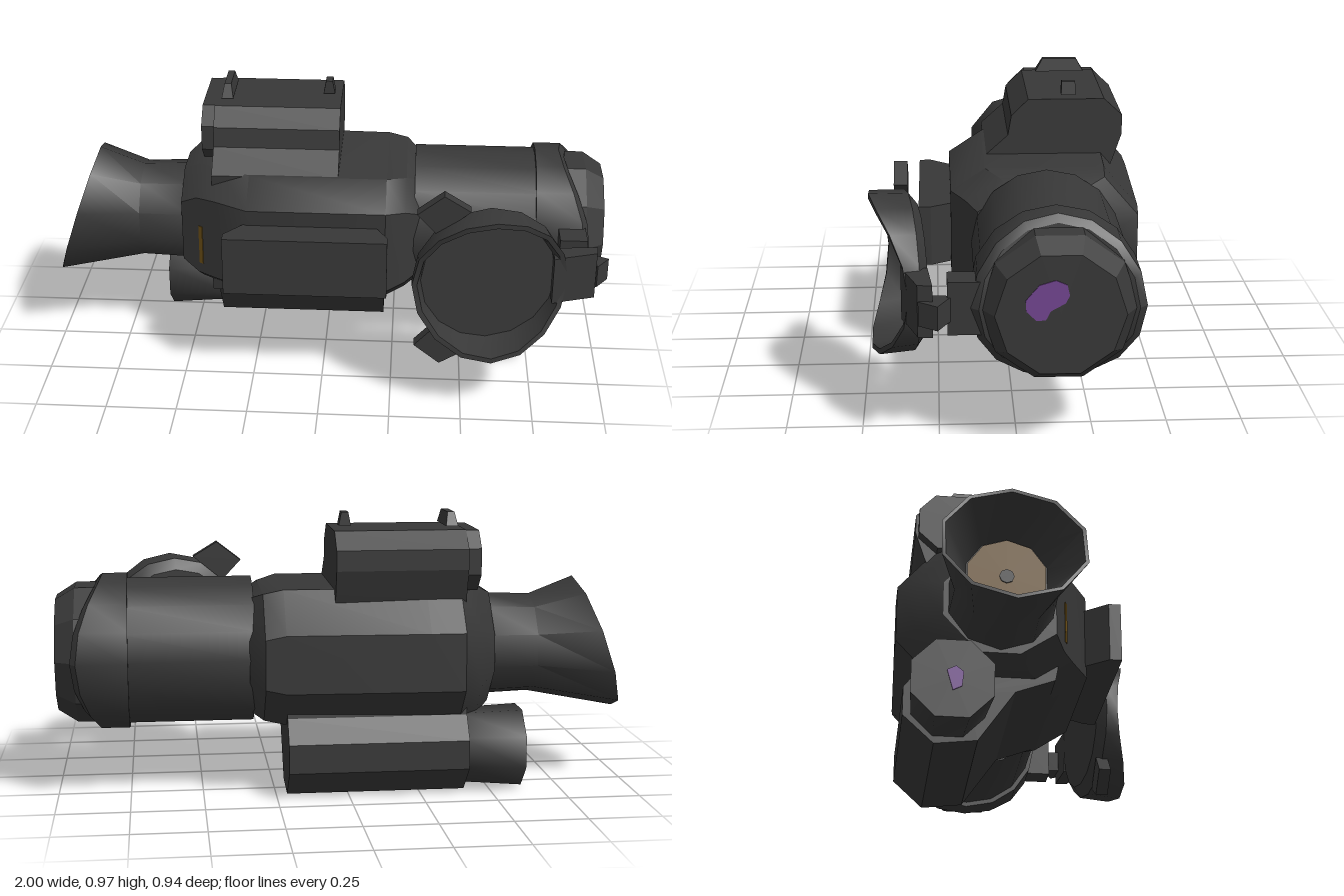
import * as THREE from 'three';
import { toCreasedNormals } from 'three/addons/utils/BufferGeometryUtils.js';

const CY = 0.485, CZ = -0.127; // optical axis, running along x

// Skin a list of closed rings (arrays of [x, y, z]) and cap both ends
function loft(rings, crease = 0.6) {
  const n = rings[0].length, pos = [], index = [];
  rings.forEach(r => r.forEach(p => pos.push(...p)));
  for (let i = 0; i < rings.length - 1; i++) {
    for (let j = 0; j < n; j++) {
      const k = (j + 1) % n, a = i * n + j, b = i * n + k;
      index.push(a, b, b + n, a, b + n, a + n);
    }
  }
  [0, rings.length - 1].forEach((i, end) => {
    const c = pos.length / 3;
    pos.push(...[0, 1, 2].map(d => rings[i].reduce((s, p) => s + p[d], 0) / n));
    for (let j = 0; j < n; j++) {
      const a = i * n + j, b = i * n + (j + 1) % n;
      index.push(c, end ? a : b, end ? b : a);
    }
  });
  const g = new THREE.BufferGeometry();
  g.setAttribute('position', new THREE.Float32BufferAttribute(pos, 3));
  g.setIndex(index);
  return toCreasedNormals(g, crease);
}

// Ring around the x axis; x may depend on the angle from the top
function ring(x, r, n, y = CY, z = CZ, phase = 0) {
  return Array.from({ length: n }, (_, j) => {
    const a = (j + phase) / n * Math.PI * 2;
    return [typeof x === 'function' ? x(a) : x, y + r * Math.cos(a), z + r * Math.sin(a)];
  });
}

// Straight prism along x from [y, z] points
const prism = (pts, x0, x1) => loft([x0, x1].map(x => pts.map(([y, z]) => [x, y, z])), 0.3);

// Vertical prism from [x, z] points
function plan(pts, y0, y1) {
  const shape = new THREE.Shape(pts.map(([x, z]) => new THREE.Vector2(x, -z)));
  return new THREE.ExtrudeGeometry(shape, { depth: y1 - y0, bevelEnabled: false })
    .rotateX(-Math.PI / 2).translate(0, y0, 0);
}

export function createModel() {
  const model = new THREE.Group();
  model.name = 'opticalSight';
  const mat = (name, color) => Object.assign(new THREE.MeshStandardMaterial({ color }), { name });
  const black = mat('blackHousing', 0x383838);
  const purple = mat('purpleGlint', 0x724590);
  const amber = mat('amberGlass', 0x6b4e16);
  const add = (name, geometry, material = black, parent = model) => {
    const m = new THREE.Mesh(geometry, material);
    m.name = name;
    parent.add(m);
    return m;
  };

  // Main housing: chamfered sections [x, zMin, zMax, yMin, yMax]
  const sections = [
    [-0.52, -0.32, 0.06, 0.29, 0.68], [-0.46, -0.40, 0.094, 0.255, 0.715],
    [-0.39, -0.47, 0.133, 0.25, 0.72], [-0.27, -0.47, 0.20, 0.25, 0.72],
    [0.22, -0.455, 0.20, 0.25, 0.72], [0.29, -0.45, 0.15, 0.265, 0.705],
    [0.34, -0.38, 0.11, 0.29, 0.68]];
  add('mainHousing', loft(sections.map(([x, z0, z1, y0, y1]) => [
    [y1, z1 - 0.12], [y1 - 0.08, z1], [y0 + 0.08, z1], [y0, z1 - 0.12],
    [y0, z0 + 0.12], [y0 + 0.13, z0], [y1 - 0.14, z0], [y1, z0 + 0.12],
  ].map(([y, z]) => [x, y, z]))));

  // Objective tube, scalloped collar and front lens
  add('objectiveTube', loft([ring(0.32, 0.258, 16), ring(0.78, 0.258, 16)]));
  const scallop = a => 0.925 - 0.09 * Math.cos(a) ** 2;
  add('collar', loft([ring(0.75, 0.275, 16), ring(scallop, 0.275, 16), ring(a => scallop(a) + 0.02, 0.25, 16)], 0.4));
  add('frontBezel', loft([ring(0.78, 0.25, 10, CY, CZ, 0.5), ring(0.93, 0.247, 10, CY, CZ, 0.5),
    ring(0.997, 0.204, 10, CY, CZ, 0.5)], 0.3));
  add('lensGlint', prism([[0.6, -0.11], [0.585, -0.06], [0.55, -0.03], [0.535, -0.018], [0.5, -0.02],
    [0.47, -0.05], [0.47, -0.08], [0.5, -0.095], [0.525, -0.14], [0.55, -0.153], [0.585, -0.145]],
  0.995, 1.0), purple);

  // Eyepiece with slanted, hollow eyecup
  const slant = a => -0.92 + 0.08 * Math.cos(a);
  add('eyepiece', loft([ring(-0.68, 0.14, 10), ring(slant, 0.228, 10), ring(slant, 0.24, 10),
    ring(-0.68, 0.178, 10), ring(-0.5, 0.185, 10)], 0.7));
  add('eyepieceGlass', loft([ring(-0.688, 0.135, 10), ring(-0.68, 0.135, 10)]), amber);
  add('eyepiecePupil', loft([ring(-0.692, 0.025, 8), ring(-0.686, 0.025, 8)]));

  // Upper compartment, its end cap and the raised controls
  add('upperCompartment', prism([[0.92, -0.08], [0.86, -0.02], [0.79, -0.008], [0.715, 0.075],
    [0.66, 0.07], [0.66, -0.37], [0.7, -0.385], [0.79, -0.415], [0.86, -0.415], [0.92, -0.35]], -0.405, 0.047));
  add('upperEndCap', prism([[0.918, -0.09], [0.86, -0.03], [0.77, -0.03], [0.71, -0.09],
    [0.71, -0.34], [0.77, -0.405], [0.86, -0.405], [0.918, -0.35]], -0.45, -0.4));
  add('indicator', loft([ring(-0.454, 0.018, 8, 0.8, -0.21), ring(-0.448, 0.018, 8, 0.8, -0.21)]), amber);
  for (const [name, x, w0, w1] of [['rockerButton', -0.365, 0.09, 0.063], ['smallButton', 0, 0.026, 0.024]]) {
    const z = x < -0.1 ? -0.22 : -0.225;
    const rect = (y, h, w) => [[x + h, y, z + w], [x + h, y, z - w], [x - h, y, z - w], [x - h, y, z + w]];
    add(name, loft([rect(0.928, 0.021, w0), rect(0.975, 0.012, w1)], 0.2));
  }

  // Lower compartment with its round lamp
  add('lowerCompartment', prism([[0.3, 0.08], [0.25, 0.07], [0.2, -0.065], [0.02, -0.19], [0.003, -0.335],
    [0.1, -0.44], [0.2, -0.44], [0.28, -0.38], [0.35, -0.37]], -0.412, 0.212));
  add('lowerLamp', loft([ring(-0.615, 0.146, 8, 0.148, -0.29, 0.5), ring(-0.4, 0.132, 8, 0.152, -0.29, 0.5)], 0.9));
  add('lampGlint', prism([[0.19, -0.28], [0.17, -0.255], [0.12, -0.26], [0.105, -0.29],
    [0.14, -0.3], [0.175, -0.31]], -0.619, -0.613), purple);

  // Side mounting rail and amber mark on the sloped flank
  add('sideRail', plan([[-0.27, 0.18], [-0.345, 0.27], [-0.345, 0.312], [0.23, 0.312], [0.23, 0.27], [0.18, 0.18]],
    0.37, 0.585));
  const mark = add('flankMark', new THREE.BoxGeometry(0.016, 0.15, 0.006), amber);
  mark.position.set(-0.447, 0.45, 0.101);
  mark.rotation.y = -0.51;

  // Flip-up lens cover: shallow cup with a wavy rim, opened to the side
  const cover = new THREE.Group();
  cover.name = 'lensCover';
  model.add(cover);
  const rim = a => 0.07 + 0.09 * Math.cos(a) ** 2;
  const cup = add('coverCup', loft([ring(0, 0.225, 16, 0, 0), ring(0.03, 0.265, 16, 0, 0), ring(rim, 0.27, 16, 0, 0),
    ring(rim, 0.252, 16, 0, 0), ring(0.035, 0.235, 16, 0, 0)], 0.5), black, cover);
  cup.position.set(0.575, CY, 0.31);
  cup.rotation.y = -Math.PI / 2 + 0.14;

  // Finger tabs, mirrored above and below the axis
  for (const s of [1, -1]) {
    const tab = new THREE.Shape([[0.33, 0.255], [0.4, 0.18], [0.51, 0.27], [0.42, 0.325]]
      .map(([x, y]) => new THREE.Vector2(x, CY + s * y)));
    add('coverTab', new THREE.ExtrudeGeometry(tab, { depth: 0.045, bevelEnabled: false })
      .translate(0, 0, 0.343), black, cover);
  }

  // Hinge between cover and collar
  add('coverArm', plan([[0.8, 0.28], [0.8, 0.365], [0.85, 0.345], [0.95, 0.312], [0.955, 0.265]], 0.40, 0.572), black, cover);
  add('hingeBase', plan([[0.83, 0.08], [0.83, 0.22], [0.925, 0.22], [0.925, 0.08]], 0.395, 0.57));
  add('hingeKnuckle', plan([[0.91, 0.2], [0.9, 0.27], [0.955, 0.31], [0.998, 0.25], [0.94, 0.22]], 0.44, 0.52));
  return model;
}
